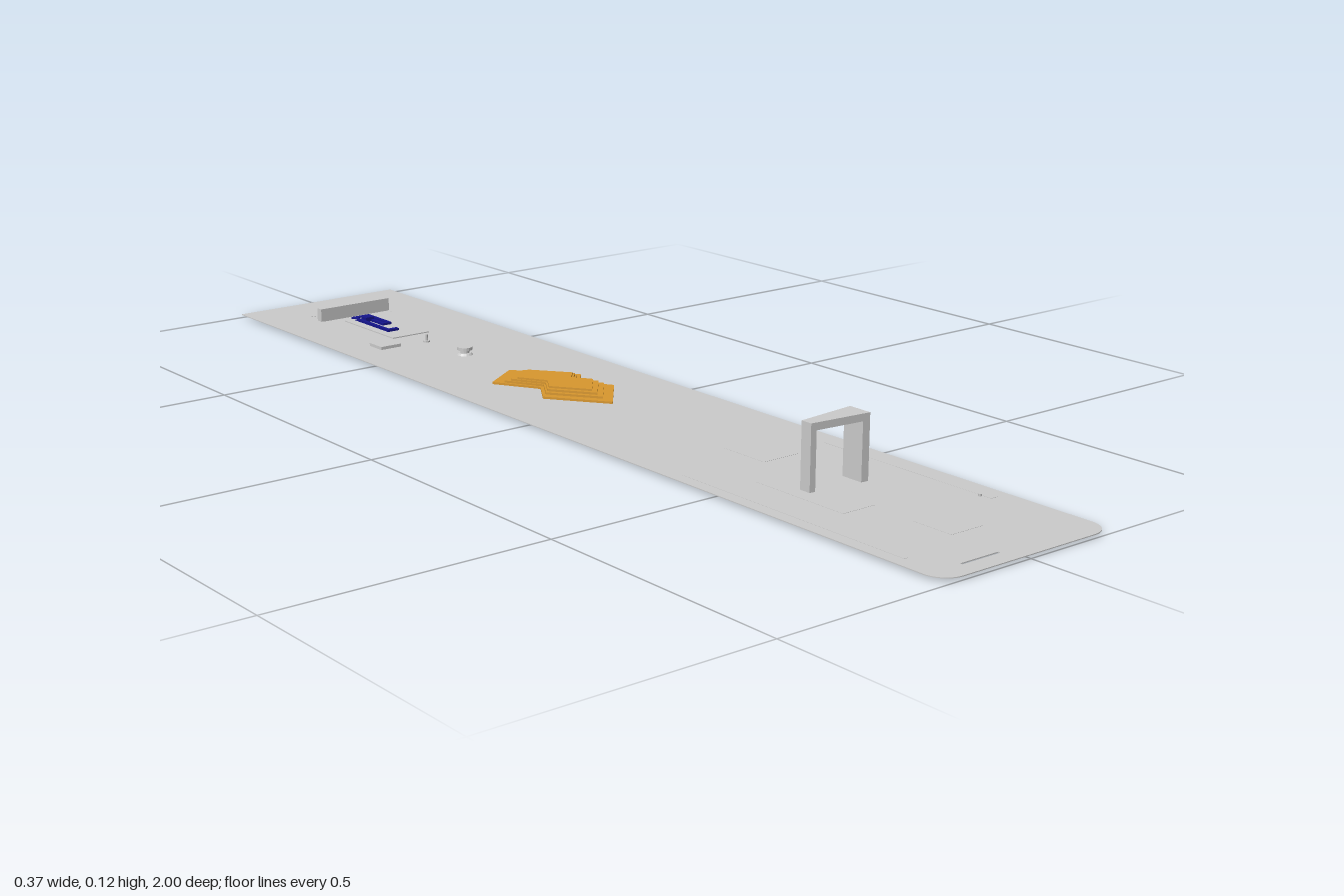
import * as THREE from 'three';

const grey = new THREE.MeshStandardMaterial({ color: 0xcccccc, flatShading: true });
const amber = new THREE.MeshStandardMaterial({ color: 0xd9982f, flatShading: true });
const blue = new THREE.MeshStandardMaterial({ color: 0x14148c, flatShading: true });
const TOP = 0.007; // top of the base board

// Corner points given as [x, z]
const toPoints = (pts) => pts.map(([x, z]) => new THREE.Vector2(x, -z));
const rect = (x0, x1, z0, z1) => [[x0, z0], [x1, z0], [x1, z1], [x0, z1]];

export function createModel() {
  const model = new THREE.Group();

  const add = (name, geometry, material = grey) => {
    const mesh = new THREE.Mesh(geometry, material);
    mesh.name = name;
    model.add(mesh);
    return mesh;
  };
  // Horizontal slab from an outline in x and z
  const slab = (name, outline, y0, y1, material, holes = []) => {
    const shape = outline instanceof THREE.Shape ? outline : new THREE.Shape(toPoints(outline));
    holes.forEach((h) => shape.holes.push(new THREE.Path(toPoints(h))));
    const g = new THREE.ExtrudeGeometry(shape, { depth: y1 - y0, bevelEnabled: false, curveSegments: 8 });
    return add(name, g.rotateX(-Math.PI / 2).translate(0, y0, 0), material);
  };
  const box = (name, x0, x1, y0, y1, z0, z1, material) =>
    add(name, new THREE.BoxGeometry(x1 - x0, y1 - y0, z1 - z0)
      .translate((x0 + x1) / 2, (y0 + y1) / 2, (z0 + z1) / 2), material);
  const peg = (name, x, z, r0, r1, y0, y1, sides = 16) =>
    add(name, new THREE.CylinderGeometry(r1, r0, y1 - y0, sides).translate(x, (y0 + y1) / 2, z));

  // Long board, rounded at the front, with a recess and a narrow slot
  const recess = [[-0.04, -0.9], [0.035, -0.9], [0.035, -0.892], [0.075, -0.892], [0.075, -0.825],
    [0.037, -0.82], [0.037, -0.635], [-0.045, -0.635], [-0.045, -0.82], [-0.08, -0.825],
    [-0.08, -0.892], [-0.04, -0.892]];
  const board = new THREE.Shape();
  const r = 0.04, w = 0.183;
  board.moveTo(-w, 1).lineTo(-w, -1 + r).absarc(-w + r, -1 + r, r, Math.PI, 1.5 * Math.PI, false);
  board.lineTo(w - r, -1).absarc(w - r, -1 + r, r, -Math.PI / 2, 0, false);
  board.lineTo(w, 1).closePath();
  slab('baseBoard', board, 0.0055, TOP, grey, [recess, rect(-0.11, -0.03, 0.963, 0.968)]);

  // Sunken tray below the recess, with a raised rim along its stem
  const shrink = recess.map(([x, z]) => [-0.003 + (x + 0.003) * 0.88, -0.765 + (z + 0.765) * 0.95]);
  slab('recessWall', recess, 0, 0.0065, grey, [shrink]);
  slab('recessFloor', recess, 0, 0.0015);
  slab('recessRim', rect(-0.047, 0.039, -0.815, -0.633), TOP - 0.001, 0.009, grey,
    [rect(-0.035, 0.027, -0.805, -0.645)]);

  // Back wall standing across the recess
  box('backWall', -0.086, 0.078, 0.001, 0.033, -0.857, -0.842);
  box('backWallFoot', -0.07, 0.065, 0.001, 0.01, -0.875, -0.842);

  // Bent blue clip lying in the recess
  [[-0.024, -0.016, -0.82, -0.69], [0.01, 0.018, -0.82, -0.74], [-0.024, 0.018, -0.825, -0.815],
    [-0.024, 0.002, -0.697, -0.687], [-0.003, 0.004, -0.79, -0.74], [-0.003, 0.018, -0.747, -0.739]]
    .forEach(([x0, x1, z0, z1]) => box('clipBar', x0, x1, 0.001, 0.011, z0, z1, blue));
  box('clipHead', -0.016, 0.004, 0.003, 0.016, -0.8, -0.783, blue);

  // Stepped zigzag mound
  const zigzag = [[-0.085, -0.237], [-0.01, -0.287], [0.077, -0.178], [0.042, -0.14], [0.08, -0.082],
    [0.008, 0.005], [-0.07, -0.1], [-0.035, -0.155]];
  [[1, TOP, 0.011], [0.82, 0.011, 0.015], [0.72, 0.015, 0.019], [0.62, 0.019, 0.0225]]
    .forEach(([s, y0, y1]) => slab('moundStep',
      zigzag.map(([x, z]) => [x * s, -0.145 + (z + 0.145) * s]), y0, y1, amber));

  // Round capped post and small pegs
  peg('roundPostStem', -0.003, -0.445, 0.009, 0.009, TOP, 0.018);
  peg('roundPostFoot', -0.003, -0.445, 0.016, 0.013, TOP, 0.011);
  peg('roundPostCap', -0.003, -0.445, 0.015, 0.015, 0.017, 0.023);
  peg('smallPegFoot', -0.007, -0.573, 0.007, 0.007, TOP, 0.01, 8);
  peg('smallPeg', -0.007, -0.573, 0.003, 0.003, TOP, 0.022, 8);
  peg('edgePeg', 0.14, 0.77, 0.003, 0.003, TOP, 0.011, 8);

  // Low corner bracket
  slab('cornerBracket', [[-0.113, -0.615], [-0.108, -0.615], [-0.108, -0.578], [-0.067, -0.578],
    [-0.067, -0.573], [-0.113, -0.573]], TOP, 0.013);

  // Gate: the depth widens from one post to the other
  const gateShape = new THREE.Shape([[-0.062, 0.005], [-0.051, 0.005], [-0.051, 0.109], [0.041, 0.109],
    [0.041, 0.005], [0.055, 0.005], [0.055, 0.122], [-0.062, 0.122]].map(([x, y]) => new THREE.Vector2(x, y)));
  const gate = new THREE.ExtrudeGeometry(gateShape, { depth: 1, bevelEnabled: false });
  const p = gate.attributes.position;
  for (let i = 0; i < p.count; i++) {
    const t = (p.getX(i) + 0.062) / 0.117;
    p.setZ(i, 0.584 + (p.getZ(i) - 0.5) * THREE.MathUtils.lerp(0.022, 0.046, t));
  }
  gate.computeVertexNormals();
  add('gate', gate);

  // Thin panels and strips laid on the board
  [[-0.09, -0.02, 0.5, 0.7], [-0.01, 0.067, 0.33, 0.43], [-0.03, 0.04, 0.79, 0.87],
    [0.144, 0.16, 0.41, 0.79], [-0.16, -0.15, 0.4, 0.9]]
    .forEach(([x0, x1, z0, z1]) => box('boardPanel', x0, x1, 0.006, TOP + 0.0004, z0, z1));

  return model;
}
